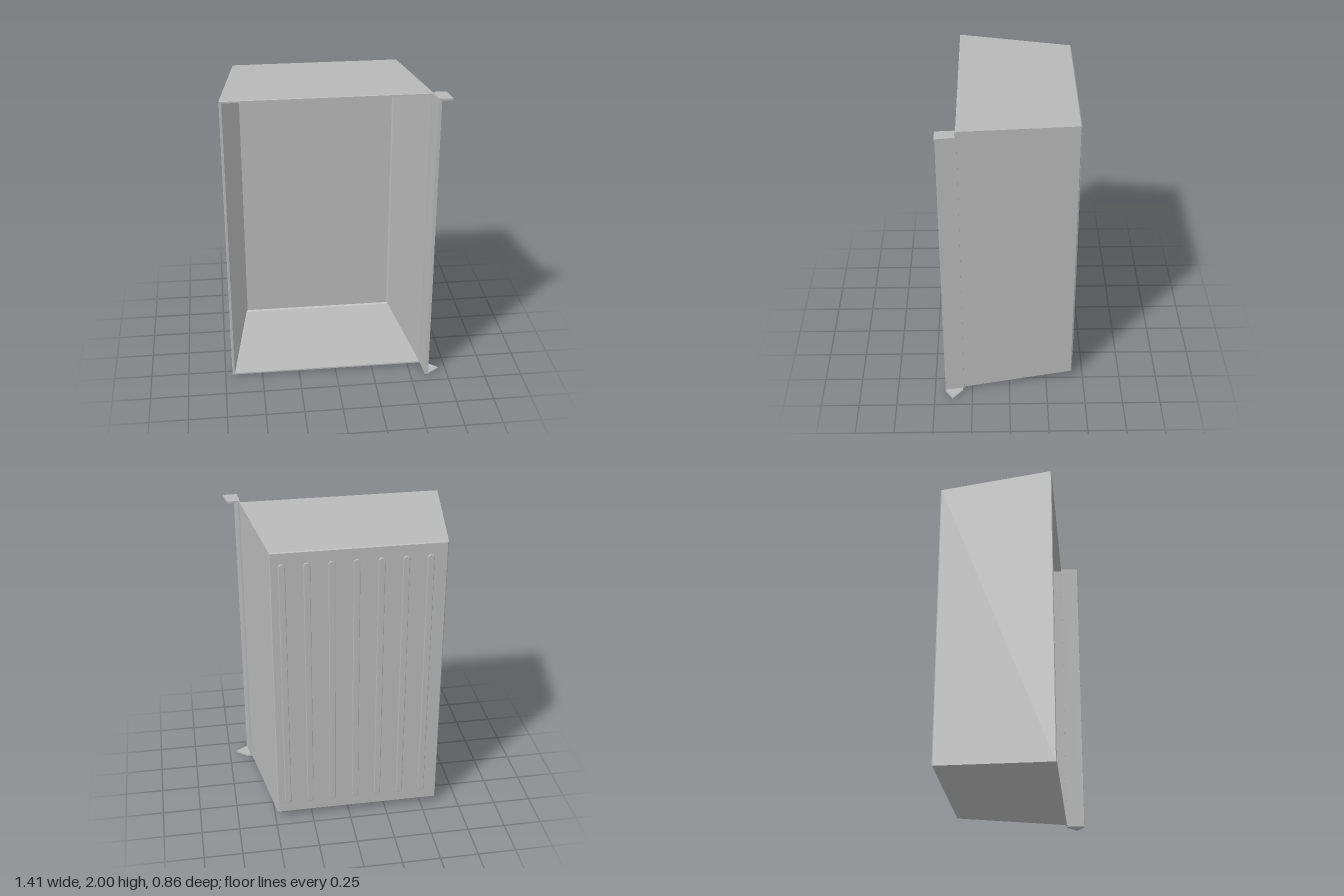
import * as THREE from 'three';

const grey = new THREE.MeshStandardMaterial({ color: 0xb8b8b8 });
grey.name = 'plain grey';

// Skin a run of rectangles [x0, x1, y0, y1, z] and cap both ends
function loftRects(rects) {
  const loops = rects.map(([x0, x1, y0, y1, z]) =>
    [[x0, y0, z], [x1, y0, z], [x1, y1, z], [x0, y1, z]]);
  const pos = [];
  const quad = (a, b, c, d) => pos.push(...a, ...b, ...c, ...a, ...c, ...d);
  const first = loops[0], last = loops[loops.length - 1];
  quad(first[3], first[2], first[1], first[0]);
  for (let k = 0; k < loops.length - 1; k++) {
    for (let i = 0; i < 4; i++) {
      const j = (i + 1) % 4;
      quad(loops[k][i], loops[k][j], loops[k + 1][j], loops[k + 1][i]);
    }
  }
  quad(...last);
  const geo = new THREE.BufferGeometry();
  geo.setAttribute('position', new THREE.Float32BufferAttribute(pos, 3));
  geo.computeVertexNormals();
  return geo;
}

// Upright prism from a plan outline of [x, z] points
function prism(plan, y0, y1) {
  const shape = new THREE.Shape(plan.map(([x, z]) => new THREE.Vector2(x, -z)));
  const geo = new THREE.ExtrudeGeometry(shape, { depth: y1 - y0, bevelEnabled: false });
  return geo.rotateX(-Math.PI / 2).translate(0, y0, 0);
}

// Raised bar with rounded ends, lying on the back panel
function ribGeometry(width, y0, y1, depth) {
  const r = width / 2;
  const shape = new THREE.Shape();
  shape.absarc(0, y1 - r, r, 0, Math.PI, false);
  shape.absarc(0, y0 + r, r, Math.PI, Math.PI * 2, false);
  shape.closePath();
  return new THREE.ExtrudeGeometry(shape, {
    depth: depth / 2, bevelThickness: depth / 2, bevelSize: 0.006, bevelOffset: -0.006,
    bevelSegments: 2, curveSegments: 8,
  });
}

export function createModel() {
  const model = new THREE.Group();
  model.name = 'openCabinet';
  const add = (name, geo) => {
    const mesh = new THREE.Mesh(geo, grey);
    mesh.name = name;
    model.add(mesh);
    return mesh;
  };

  // Tapered shell, open at the front, with softened edges
  add('shell', loftRects([
    [-0.593, 0.479, 0.051, 1.954, -0.425],
    [-0.599, 0.485, 0.045, 1.96, -0.419],
    [-0.704, 0.594, 0.012, 1.992, 0.307],
    [-0.701, 0.592, 0.015, 1.989, 0.312],
    [-0.688, 0.582, 0.025, 1.979, 0.312],
    [-0.58, 0.474, 0.057, 1.948, -0.401],
    [-0.57, 0.464, 0.067, 1.938, -0.41],
  ]));

  // Seven ribs down the back
  const rib = ribGeometry(0.042, 0.12, 1.885, 0.006);
  for (let i = 0; i < 7; i++) {
    add('backRib', rib).position.set(-0.493 + i * 0.151, 0, -0.43);
  }

  // Hinge strip along the front left edge
  add('hingeStrip', prism(
    [[0.586, 0.305], [0.605, 0.305], [0.622, 0.43], [0.6, 0.43]], 0.01, 1.99));

  // Hinge tabs at the top and bottom of the strip
  add('topHingeTab', prism(
    [[0.592, 0.312], [0.672, 0.312], [0.69, 0.43], [0.6, 0.43]], 1.987, 2));
  add('bottomHingeTab', prism(
    [[0.592, 0.312], [0.625, 0.312], [0.702, 0.378], [0.625, 0.43], [0.6, 0.43]], 0, 0.013));

  return model;
}
